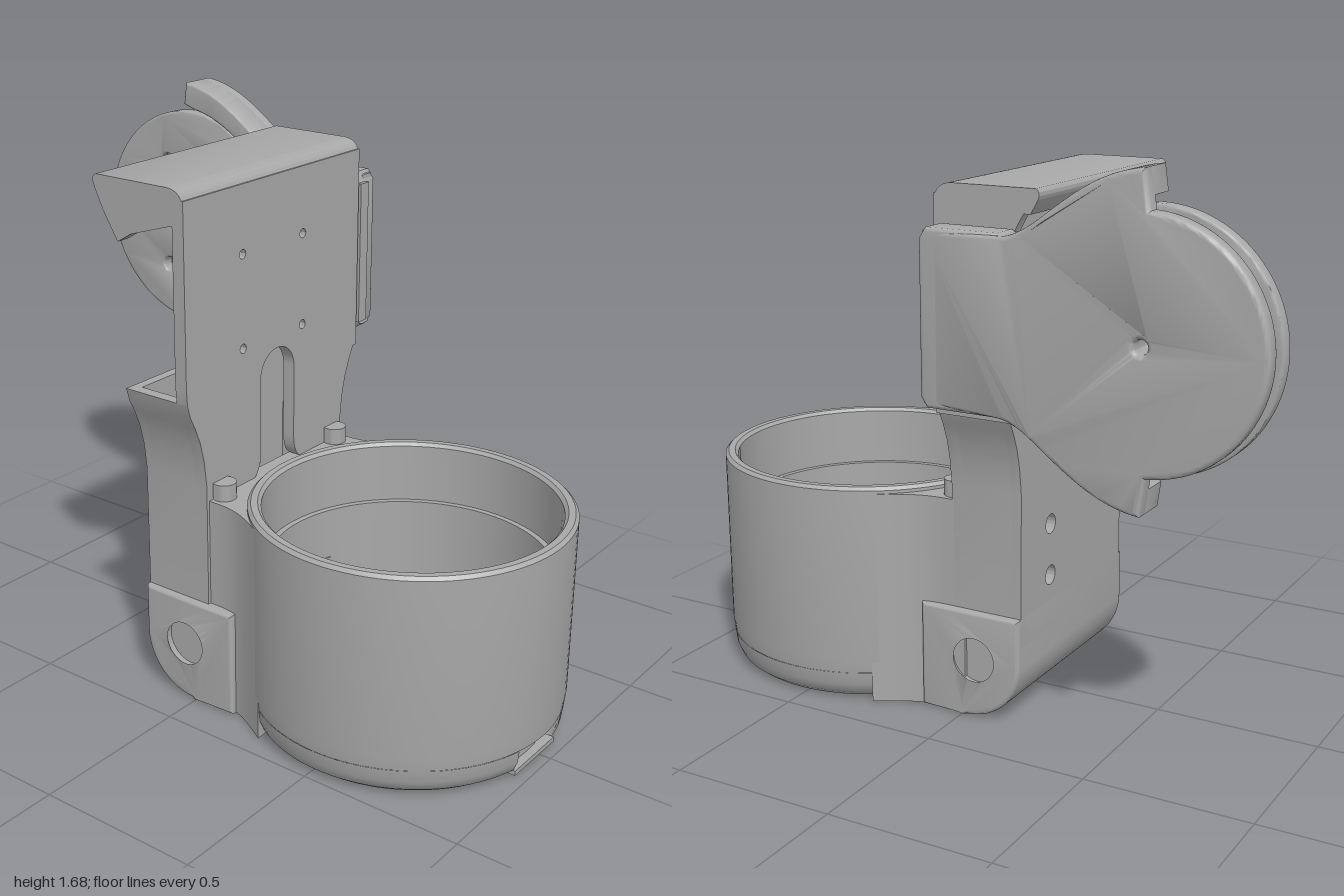
import * as THREE from 'three';
import { toCreasedNormals } from 'three/addons/utils/BufferGeometryUtils.js';

const V = (x, y) => new THREE.Vector2(x, y);
const CUP = { x: 0.525, z: 0.03, r: 0.47, top: 0.69 };
const DISC = { x: -0.645, y: 1.24 };

export function createModel() {
  const model = new THREE.Group();
  const grey = new THREE.MeshStandardMaterial({ color: 0xa8a8a8, side: THREE.DoubleSide });
  grey.name = 'grey plastic';

  const add = (name, geo, x = 0, y = 0, z = 0) => {
    const mesh = new THREE.Mesh(toCreasedNormals(geo, 0.6), grey);
    mesh.name = name;
    mesh.position.set(x, y, z);
    model.add(mesh);
    return mesh;
  };
  const extrude = (shape, depth, bevel = 0) => {
    const g = new THREE.ExtrudeGeometry(shape, {
      depth: depth - 2 * bevel, curveSegments: 32, bevelEnabled: bevel > 0,
      bevelSize: bevel, bevelOffset: -bevel, bevelThickness: bevel, bevelSegments: 4,
    });
    return g.translate(0, 0, bevel);
  };
  // side shapes are drawn in (-z, y) and pushed along +x; plan shapes in (x, -z), pushed up
  const alongX = (shape, depth, bevel) => extrude(shape, depth, bevel).rotateY(Math.PI / 2);
  const upward = (shape, depth, bevel) => extrude(shape, depth, bevel).rotateX(-Math.PI / 2);
  const circle = (x, y, r) => new THREE.Path().absarc(x, y, r, 0, Math.PI * 2, true);
  const slot = (x, y, w, h) => {
    const s = new THREE.Shape(), r = Math.min(w, h) / 2, a = w / 2 - r, b = h / 2 - r;
    s.absarc(x + a, y + b, r, 0, Math.PI / 2);
    s.absarc(x - a, y + b, r, Math.PI / 2, Math.PI);
    s.absarc(x - a, y - b, r, Math.PI, Math.PI * 1.5);
    s.absarc(x + a, y - b, r, Math.PI * 1.5, Math.PI * 2);
    return s;
  };

  // ---- Cup: upper wall with inner ledge, then lower wall with a port gap on +x
  const upper = [V(0.465, 0.1), V(0.47, 0.14), V(0.47, 0.68), V(0.46, 0.69), V(0.44, 0.69),
    V(0.43, 0.68), V(0.43, 0.5), V(0.412, 0.5), V(0.412, 0.1), V(0.465, 0.1)];
  add('cupWall', new THREE.LatheGeometry(upper, 96), CUP.x, 0, CUP.z);
  const lower = [V(0.412, 0.1), V(0.412, 0.01), V(0.425, 0.012), V(0.448, 0.03), V(0.461, 0.06), V(0.466, 0.1)];
  const gap = 0.247;
  add('cupLowerWall', new THREE.LatheGeometry(lower, 90, Math.PI / 2 + gap, Math.PI * 2 - 2 * gap), CUP.x, 0, CUP.z);

  const floor = new THREE.Shape().absarc(0, 0, 0.415, 0, Math.PI * 2);
  for (const x of [-0.205, 0.205]) for (const y of [-0.205, 0.205]) floor.holes.push(circle(x, y, 0.02));
  floor.holes.push(new THREE.Path([V(-0.022, -0.022), V(-0.022, 0.022), V(0.022, 0.022), V(0.022, -0.022)]));
  floor.holes.push(slot(0.396, 0, 0.024, 0.08));
  add('cupFloor', upward(floor, 0.05), CUP.x, 0.01, CUP.z);
  add('portSill', new THREE.BoxGeometry(0.04, 0.015, 0.22), CUP.x + 0.42, 0.02, CUP.z);

  const boss = [V(0.19, 0.06), V(0.19, 0.13), V(0.18, 0.14), V(0.15, 0.14), V(0.14, 0.12),
    V(0.14, 0.1), V(0.105, 0.1), V(0.1, 0.07), V(0.03, 0.061)];
  add('floorBoss', new THREE.LatheGeometry(boss, 64), CUP.x, 0, CUP.z);
  const sidePad = slot(0, 0, 0.065, 0.2);
  for (const y of [-0.06, 0, 0.06]) sidePad.holes.push(circle(0, y, 0.014));
  add('sidePad', upward(sidePad, 0.03), 0.285, 0.06, CUP.z);
  add('frontPad', upward(slot(0, 0, 0.19, 0.06), 0.03), CUP.x, 0.06, 0.26);

  // ---- Neck flaring from the bracket into the cup
  const neck = new THREE.Shape();
  neck.moveTo(0, -0.32);
  neck.lineTo(0.06, -0.32);
  neck.bezierCurveTo(0.14, -0.32, 0.18, -0.34, 0.28, -0.4);
  const a0 = Math.atan2(-0.36, -0.245);
  neck.absarc(CUP.x, 0, 0.44, a0, -a0 - Math.PI * 2, true);
  neck.lineTo(0.28, 0.4);
  neck.bezierCurveTo(0.18, 0.34, 0.14, 0.32, 0.06, 0.32);
  neck.lineTo(0, 0.32);
  add('neck', upward(neck, 0.66), 0, 0.01, CUP.z);
  for (const z of [-0.24, 0.3]) {
    add('neckLug', new THREE.CylinderGeometry(0.036, 0.036, 0.12, 24), 0.055, 0.66, z);
  }

  // ---- Base block with a large rounded lower edge and a round recess on each end
  const base = new THREE.Shape();
  base.moveTo(0.14, 0.01);
  base.lineTo(-0.02, 0.01);
  base.absarc(-0.01, 0.19, 0.18, Math.PI * 1.5, Math.PI, true);
  base.lineTo(-0.19, 0.34);
  base.lineTo(0.04, 0.34);
  base.lineTo(0.14, 0.34);
  base.holes.push(circle(-0.04, 0.19, 0.08));
  add('baseBlock', extrude(base, 0.69, 0.012), 0, 0, -0.31);
  const core = add('pivotCore', new THREE.CylinderGeometry(0.085, 0.085, 0.63, 32), -0.04, 0.19, 0.035);
  core.rotation.x = Math.PI / 2;

  // ---- Upright plate: wide at the top, waisted below, with arched slot and screw holes
  const C = -0.035;
  const waist = (s, from, to) => [ // half outline between two heights
    [0.25, 0.325], [0.72, 0.325], [0.8, 0.335], [0.86, 0.35], [0.91, 0.37], [0.95, 0.39], [0.99, 0.402], [1.04, 0.405], [1.57, 0.405],
  ].filter(p => p[0] >= from && p[0] <= to).map(p => V(C + s * p[1], p[0]));
  const plate = new THREE.Shape([...waist(1, 0, 2), ...waist(-1, 0, 2).reverse()]);
  const arch = new THREE.Path();
  arch.moveTo(-0.14, 0.67);
  arch.quadraticCurveTo(-0.11, 0.69, -0.11, 0.75);
  arch.lineTo(-0.11, 0.97);
  arch.absarc(-0.03, 0.97, 0.08, Math.PI, 0, true);
  arch.lineTo(0.05, 0.75);
  arch.quadraticCurveTo(0.05, 0.69, 0.08, 0.67);
  plate.holes.push(arch);
  for (const u of [-0.19, 0.09]) for (const y of [1.09, 1.37]) plate.holes.push(circle(u, y, 0.014));
  add('uprightPlate', alongX(plate, 0.04), 0, 0, 0);

  // ---- Rear wall and curved side walls of the hollow lower tower
  const rear = new THREE.Shape([...waist(1, 0, 1), ...waist(-1, 0, 1).reverse()]);
  for (const y of [0.42, 0.58]) rear.holes.push(circle(0.11, y, 0.03));
  add('towerRearWall', alongX(rear, 0.03), -0.19);
  for (const s of [1, -1]) {
    const outer = waist(s, 0, 1.0);
    const inner = outer.map(p => V(p.x - s * 0.035, p.y)).reverse();
    add('towerSideWall', alongX(new THREE.Shape([...outer, ...inner]), 0.225), -0.19);
  }

  // ---- Top flange with a rounded outer corner, and gusset at its free end
  const flange = new THREE.Shape();
  flange.moveTo(-0.275, 1.6);
  flange.quadraticCurveTo(-0.295, 1.59, -0.28, 1.565);
  flange.lineTo(-0.26, 1.53);
  flange.lineTo(-0.04, 1.54);
  flange.lineTo(0, 1.5);
  flange.lineTo(0.04, 1.5);
  flange.lineTo(0.04, 1.54);
  flange.quadraticCurveTo(0.04, 1.6, -0.02, 1.6);
  add('topFlange', extrude(flange, 0.81), 0, 0, -0.37);
  const gusset = new THREE.Shape([V(-0.282, 1.565), V(-0.25, 1.5), V(-0.2, 1.42), V(-0.15, 1.45), V(0.01, 1.5), V(0.01, 1.56)]);
  add('flangeGusset', extrude(gusset, 0.04), 0, 0, 0.4);

  // ---- Wall that carries the swinging arm
  const wall = new THREE.Shape([V(0.04, 0.95), V(0.04, 1.55), V(-0.25, 1.55), V(-0.2, 1.46), V(-0.2, 0.95)]);
  wall.holes.push(new THREE.Path([V(-0.19, 1.1), V(-0.03, 1.1), V(-0.03, 1.37), V(-0.19, 1.37)]));
  add('armWall', extrude(wall, 0.035), 0, 0, -0.37);
  add('armLatch', extrude(slot(-0.12, 1.24, 0.16, 0.2).getPoints().length ? new THREE.Shape([
    V(-0.2, 1.17), V(-0.17, 1.14), V(-0.07, 1.14), V(-0.04, 1.17), V(-0.04, 1.32), V(-0.07, 1.35), V(-0.17, 1.35), V(-0.2, 1.32)]) : null, 0.08, 0.01), 0, 0, -0.41);

  // ---- Arm: back plate with two ears, its root sloping toward the bracket
  const back = new THREE.Shape();
  back.moveTo(0.67, -0.24);
  back.lineTo(0.67, 0.24);
  back.lineTo(0.425, 0.245);
  back.bezierCurveTo(0.3, 0.25, 0.2, 0.43, -0.005, 0.45);
  back.lineTo(-0.02, 0.345);
  back.absarc(0, 0, 0.345, 1.63, -1.63 + Math.PI * 2, false);
  back.lineTo(-0.005, -0.45);
  back.bezierCurveTo(0.2, -0.43, 0.3, -0.25, 0.425, -0.245);
  back.holes.push(circle(0, 0, 0.02));
  const backGeo = extrude(back, 0.055, 0.014);
  const pos = backGeo.attributes.position;
  for (let i = 0; i < pos.count; i++) {
    const t = THREE.MathUtils.clamp((pos.getX(i) - 0.28) / 0.39, 0, 1);
    pos.setZ(i, pos.getZ(i) + 0.04 * t);
  }
  add('armBackPlate', backGeo, DISC.x, DISC.y, -0.505);

  const root = new THREE.Shape([V(-0.24, 1.01), V(-0.21, 0.99), V(0.01, 0.99), V(0.03, 1.02),
    V(0.03, 1.46), V(0.01, 1.49), V(-0.21, 1.49), V(-0.24, 1.47)]);
  add('armRoot', extrude(root, 0.1, 0.012), 0, 0, -0.47);
  add('armRootPad', new THREE.BoxGeometry(0.03, 0.44, 0.04), 0.027, 1.24, -0.4);

  // raised rims along both ears
  for (const s of [1, -1]) {
    const ear = new THREE.Shape();
    ear.moveTo(-0.005, s * 0.45);
    ear.bezierCurveTo(0.2, s * 0.43, 0.3, s * 0.25, 0.425, s * 0.245);
    ear.lineTo(0.42, s * 0.18);
    ear.bezierCurveTo(0.27, s * 0.2, 0.2, s * 0.34, 0.03, s * 0.365);
    ear.lineTo(-0.015, s * 0.38);
    add('earRim', extrude(ear, 0.1, 0.008), DISC.x, DISC.y, -0.475);
  }

  // ---- Front disc with web, screw holes, hub and pins
  const front = new THREE.Shape();
  front.moveTo(0.445, -0.16);
  front.lineTo(0.445, 0.16);
  front.bezierCurveTo(0.33, 0.17, 0.26, 0.25, 0.145, 0.324);
  front.absarc(0, 0, 0.355, 1.15, Math.PI * 2 - 1.15, false);
  front.bezierCurveTo(0.26, -0.25, 0.33, -0.17, 0.445, -0.16);
  for (const [x, y] of [[-0.1, 0.18], [0.1, 0.18], [-0.205, 0], [0.205, 0], [-0.1, -0.175], [0.1, -0.175]]) {
    front.holes.push(circle(x, y, 0.025));
  }
  front.holes.push(circle(0, 0, 0.02));
  add('frontDisc', extrude(front, 0.045, 0.008), DISC.x, DISC.y, -0.43);
  const hub = new THREE.Shape().absarc(0, 0, 0.3, 0, Math.PI * 2);
  hub.holes.push(circle(0, 0, 0.02));
  add('discHub', extrude(hub, 0.04), DISC.x, DISC.y, -0.465);
  for (const [x, y] of [[0, 0.185], [0.16, -0.09]]) {
    add('discPin', extrude(new THREE.Shape().absarc(0, 0, 0.028, 0, Math.PI * 2), 0.065, 0.006), DISC.x + x, DISC.y + y, -0.4);
  }

  return model;
}
